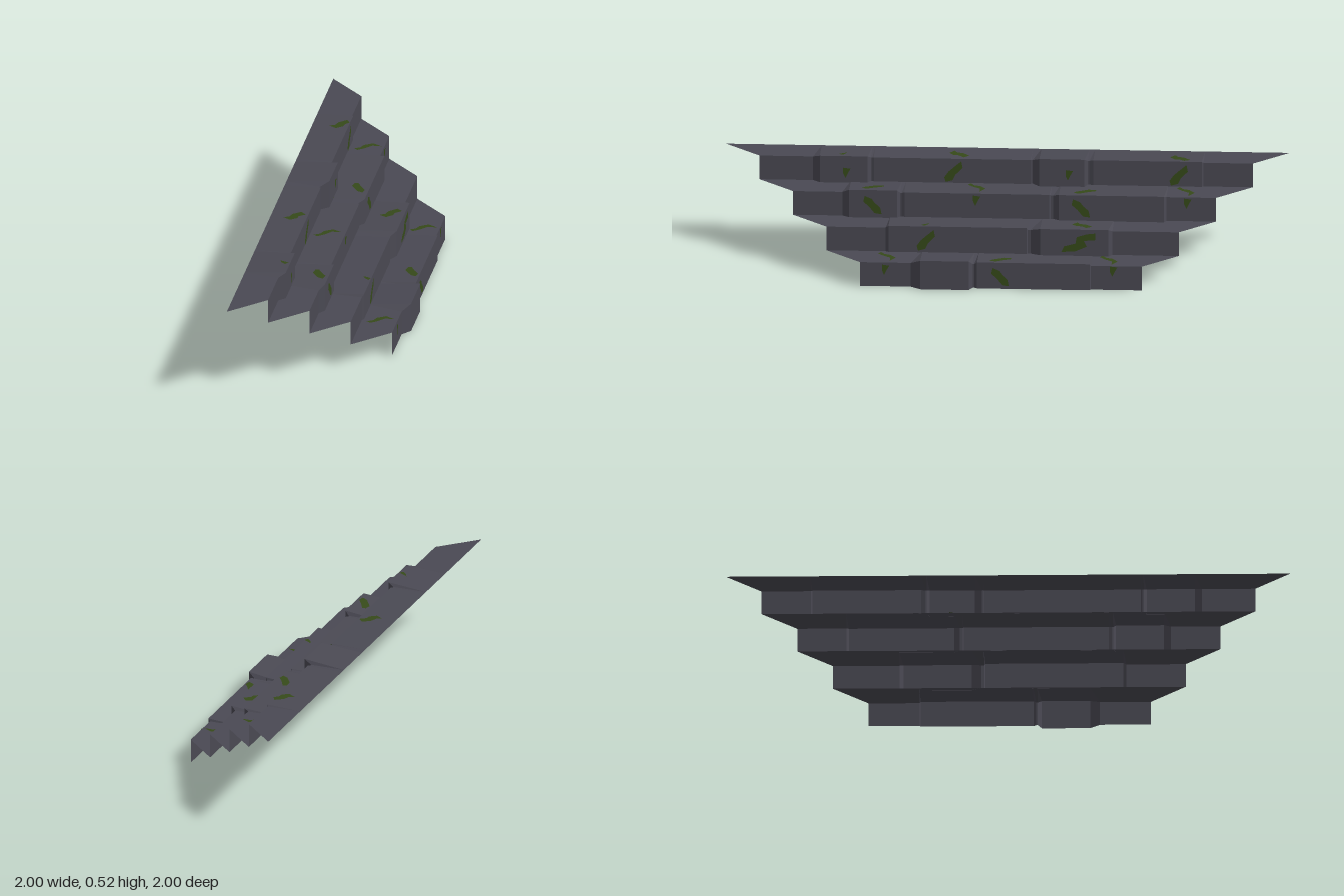
import * as THREE from 'three';

const RISE = 0.125, RUN = 0.25;
// Each course from the bottom up, its stones as [start, end, bulge, lift, bevel].
// s runs along the diagonal (x - z), u runs outwards (x + z).
const COURSES = [
  [[-0.64, -0.2, 0.055, 0.025, 0.07], [-0.19, 0.64, 0.015, 0.012, 0.02]],
  [[-0.83, 0.18, 0.012, 0.012, 0.02], [0.2, 0.78, 0.04, 0.015, 0.07]],
  [[-1.15, -0.74, 0.035, 0.02, 0.05], [-0.73, 0.33, 0.008, 0.004, 0.02], [0.35, 1.15, 0.035, 0.01, 0.04]],
  [[-1.37, -0.96, 0.045, 0.015, 0.05], [-0.95, 0.18, 0.01, 0.002, 0.01], [0.19, 0.58, 0.06, 0.02, 0.05], [0.59, 1.4, 0.01, 0.006, 0.03]],
];
const frontU = k => 1 - RUN * k;

// Outline of a course as columns [s, bulge, lift]
const profiles = COURSES.map((stones, k) => {
  const end = 2 - frontU(k), cols = [[-end, 0, 0]];
  for (const [a, b, du, dy, bevel] of stones)
    cols.push([a, 0, 0], [a + bevel, du, dy], [b - bevel * 0.4, du, dy], [b, 0, 0]);
  cols.push([end, 0, 0]);
  return cols;
});

const place = (s, u, y) => new THREE.Vector3((u + s) / 2, y, (u - s) / 2);

// Bulge and lift of a course at position s
function sample(k, s) {
  const p = profiles[k];
  for (let i = 1; i < p.length; i++) {
    if (s <= p[i][0]) {
      const t = Math.max(0, (s - p[i - 1][0]) / (p[i][0] - p[i - 1][0]));
      return [1, 2].map(j => p[i - 1][j] + (p[i][j] - p[i - 1][j]) * t);
    }
  }
  return [0, 0];
}

function facets(quads) {
  const pts = quads.flatMap(([a, b, c, d]) => [a, b, c, a, c, d]);
  const g = new THREE.BufferGeometry().setFromPoints(pts);
  g.computeVertexNormals();
  return g;
}

// Riser and tread strips with mitred ends
function courseGeometries(k) {
  const u = frontU(k), y = RISE * k, p = profiles[k], riser = [], tread = [];
  const cols = p.map(([s, du, dy], i) => {
    const back = i === 0 ? s - RUN : i === p.length - 1 ? s + RUN : s;
    return [place(s, u + du, y), place(s, u + du, y + RISE + dy), place(back, u - RUN, y + RISE)];
  });
  for (let i = 1; i < cols.length; i++) {
    const a = cols[i - 1], b = cols[i];
    riser.push([a[0], b[0], b[1], a[1]]);
    tread.push([a[1], b[1], b[2], a[2]]);
  }
  return [facets(riser), facets(tread)];
}

// Moss outlines
const SHAPES = {
  streak: [[0.03, 0.055], [0.035, 0.02], [0.01, -0.015], [0, -0.045], [-0.025, -0.055], [-0.03, -0.03], [-0.015, 0], [0.005, 0.025]],
  leaf: [[-0.03, 0.045], [-0.005, 0.03], [0.005, 0.01], [0.025, -0.015], [0.03, -0.05], [0.005, -0.045], [-0.015, -0.01], [-0.035, 0.015]],
  drop: [[-0.012, 0.025], [0.014, 0.02], [0.004, -0.005], [-0.004, -0.03], [-0.012, -0.005]],
  splash: [[0.06, 0.055], [0.06, 0.02], [0.02, 0.015], [0.03, -0.015], [-0.01, -0.04], [-0.06, -0.045], [-0.05, -0.015], [-0.01, 0], [-0.005, 0.035], [0.03, 0.05]],
  patch: [[-0.06, -0.025], [-0.03, -0.015], [0, -0.03], [0.05, -0.025], [0.05, 0.015], [0.01, 0.01], [-0.01, 0.025], [-0.05, 0.02]],
  hook: [[-0.065, -0.02], [-0.03, -0.012], [0, -0.025], [0.05, -0.015], [0.065, 0.04], [0.03, 0.005], [-0.02, 0.01], [-0.06, 0.005]],
  curl: [[-0.02, 0.06], [-0.03, 0.03], [-0.015, -0.04], [0.015, -0.06], [0.03, -0.05], [0.015, 0], [0.008, 0.04]],
};
// [course, shape, x, y]
const RISER_MOSS = [
  [0, 'drop', 0.09, 0.09], [0, 'leaf', 0.5, 0.065], [0, 'drop', 0.9, 0.1],
  [1, 'streak', 0.1, 0.19], [1, 'splash', 0.645, 0.192],
  [2, 'leaf', -0.215, 0.32], [2, 'drop', 0.15, 0.345], [2, 'leaf', 0.525, 0.32], [2, 'drop', 0.9, 0.345],
  [3, 'drop', -0.44, 0.43], [3, 'streak', -0.065, 0.435], [3, 'drop', 0.35, 0.44], [3, 'streak', 0.735, 0.435],
];
// [course, shape, x, z]
const TREAD_MOSS = [
  [0, 'hook', 0.82, 0.06], [0, 'curl', 0.475, 0.48], [0, 'hook', 0.03, 0.845],
  [1, 'patch', 0.63, 0.07], [1, 'drop', 0.095, 0.64],
  [2, 'hook', 0.83, -0.45], [2, 'curl', 0.515, -0.055], [2, 'drop', 0.34, -0.06], [2, 'hook', 0.085, 0.29], [2, 'curl', -0.235, 0.7],
  [3, 'patch', 0.72, -0.51], [3, 'patch', -0.08, 0.26], [3, 'drop', -0.45, 0.7],
];

// Lay a moss outline on the stone surface
function mossGeometry(k, name, x, v, onTread) {
  const g = new THREE.ShapeGeometry(new THREE.Shape(SHAPES[name].map(q => new THREE.Vector2(...q))));
  const pos = g.attributes.position, u0 = frontU(k), top = RISE * (k + 1), gap = 0.005;
  for (let i = 0; i < pos.count; i++) {
    const a = x + pos.getX(i), b = v + pos.getY(i);
    let q;
    if (onTread) {
      const s = a - b, [du, dy] = sample(k, s);
      const u = Math.min(a + b, u0 + du);
      q = place(s, u, top + gap + dy * Math.max(0, u - u0 + RUN) / (RUN + du));
    } else {
      const s = 2 * a - u0, [du, dy] = sample(k, s);
      q = place(s, u0 + du + gap, Math.min(top + dy, Math.max(RISE * k, b)));
    }
    pos.setXYZ(i, q.x, q.y, q.z);
  }
  // Tread outlines are drawn with z downwards, so their corners turn the other way
  if (onTread) g.index.array.reverse();
  g.computeVertexNormals();
  return g;
}

export function createModel() {
  const stone = new THREE.MeshStandardMaterial({ color: 0x4a4953, side: THREE.DoubleSide });
  stone.name = 'stone';
  const moss = new THREE.MeshStandardMaterial({ color: 0x364a1a, side: THREE.DoubleSide });
  moss.name = 'moss';
  const model = new THREE.Group();
  model.name = 'diagonalStoneSteps';
  const add = (parent, geometry, material, name) => {
    const mesh = new THREE.Mesh(geometry, material);
    mesh.name = name;
    parent.add(mesh);
  };
  COURSES.forEach((_, k) => {
    const step = new THREE.Group();
    step.name = `step${k + 1}`;
    const [riser, tread] = courseGeometries(k);
    add(step, riser, stone, 'riser');
    add(step, tread, stone, 'tread');
    for (const [c, shape, x, y] of RISER_MOSS)
      if (c === k) add(step, mossGeometry(k, shape, x, y, false), moss, 'riserMoss');
    for (const [c, shape, x, z] of TREAD_MOSS)
      if (c === k) add(step, mossGeometry(k, shape, x, z, true), moss, 'treadMoss');
    model.add(step);
  });
  return model;
}
